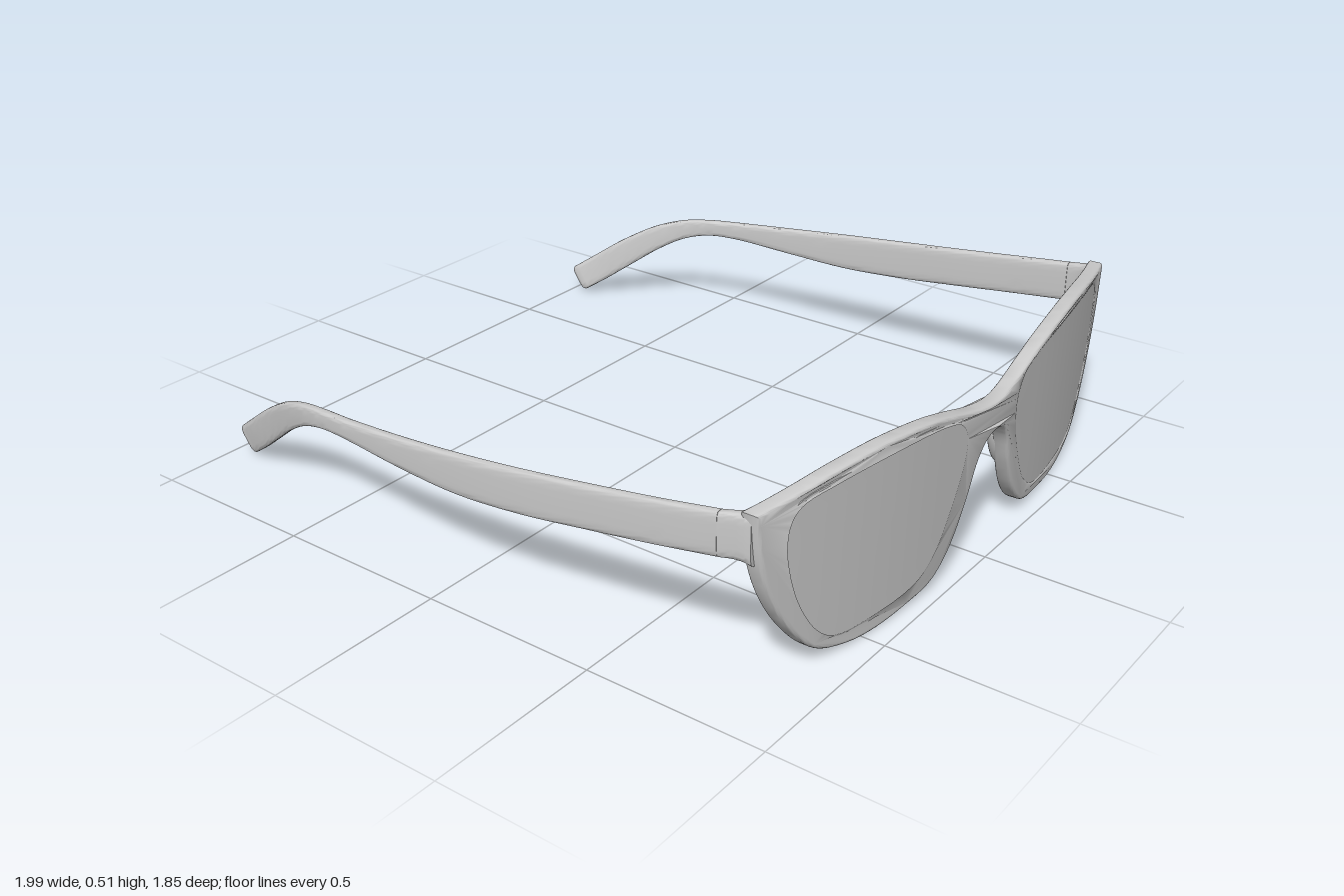
import * as THREE from 'three';
import { toCreasedNormals } from 'three/addons/utils/BufferGeometryUtils.js';

const material = new THREE.MeshStandardMaterial({ color: 0xcccccc });

// Wrap of the front: x of its outer face at sideways distance u and height y
const frontX = (u, y) =>
  0.985 - 0.15 * u * u + 0.008 * Math.exp(-((u / 0.1) ** 2)) - 0.012 * (1 - y / 0.5);

const spline = (points, closed, count) =>
  new THREE.CatmullRomCurve3(points.map(([a, b]) => new THREE.Vector3(a, b, 0)), closed).getPoints(count);

const mesh = (name, geometry, crease) => {
  const m = new THREE.Mesh(toCreasedNormals(geometry, crease), material);
  m.name = name;
  return m;
};

// Skin over closed rings of equal point count; both ends are closed with a fan
function loft(rings) {
  const n = rings[0].length;
  const positions = rings.flat(2);
  const index = [];
  for (let i = 0; i < rings.length - 1; i++) {
    for (let j = 0; j < n; j++) {
      const a = i * n + j, b = i * n + (j + 1) % n;
      index.push(a, b, a + n, b, b + n, a + n);
    }
  }
  const last = (rings.length - 1) * n;
  for (let j = 1; j < n - 1; j++) {
    index.push(0, j + 1, j);
    index.push(last, last + j, last + j + 1);
  }
  const g = new THREE.BufferGeometry();
  g.setAttribute('position', new THREE.Float32BufferAttribute(positions, 3));
  g.setIndex(index);
  return g;
}

// Lens opening, counterclockwise, as [u, y]
const lensOutline = spline([
  [0.812, 0.38], [0.80, 0.44], [0.765, 0.472], [0.66, 0.486], [0.45, 0.49], [0.25, 0.475],
  [0.17, 0.45], [0.135, 0.40], [0.14, 0.32], [0.19, 0.2], [0.25, 0.105], [0.32, 0.06],
  [0.5, 0.045], [0.635, 0.056], [0.70, 0.1], [0.765, 0.2], [0.8, 0.3],
], true, 72).slice(0, -1);

// Front frame: bevelled outline with two openings, bent to the wrap
function createFrame() {
  const mirrored = (half) => [
    ...half.slice(1).reverse().map(([u, y]) => [-u, y]), ...half,
  ];
  const top = mirrored([
    [0, 0.445], [0.1, 0.455], [0.2, 0.48], [0.3, 0.502], [0.42, 0.516], [0.52, 0.52],
    [0.65, 0.514], [0.75, 0.503], [0.84, 0.493], [0.897, 0.488],
  ]);
  const bottom = mirrored([
    [0, 0.36], [0.04, 0.35], [0.075, 0.31], [0.115, 0.21], [0.175, 0.1], [0.25, 0.037], [0.36, 0.017],
    [0.5, 0.008], [0.6, 0.02], [0.69, 0.052], [0.76, 0.12], [0.83, 0.225], [0.875, 0.34], [0.897, 0.488],
  ]).reverse();
  const shape = new THREE.Shape([
    ...spline(top, false, 80).slice(0, -1), ...spline(bottom, false, 130).slice(0, -1),
  ].map((p) => new THREE.Vector2(p.x, p.y)));
  for (const s of [1, -1]) {
    shape.holes.push(new THREE.Path(lensOutline.map((p) => new THREE.Vector2(s * p.x, p.y))));
  }
  const bevel = 0.009, depth = 0.027;
  const g = new THREE.ExtrudeGeometry(shape, {
    depth, steps: 1, bevelSize: bevel, bevelThickness: bevel, bevelOffset: -bevel, bevelSegments: 4,
  });
  const p = g.attributes.position;
  for (let i = 0; i < p.count; i++) {
    const u = p.getX(i), y = p.getY(i), d = p.getZ(i) - depth - bevel;
    p.setXYZ(i, frontX(u, y) + d, y, -u);
  }
  return mesh('frontFrame', g, 0.6);
}

// Thin curved lens: rings grow across the back and shrink across the front
function createLens(side, name) {
  const cu = 0.47, cy = 0.28;
  const ring = (k, d) => {
    const points = lensOutline.map((p) => {
      const u = side * (cu + (p.x - cu) * k), y = cy + (p.y - cy) * k;
      return [frontX(u, y) + d, y, -u];
    });
    return side > 0 ? points : points.reverse();
  };
  const steps = [0.01, 0.2, 0.4, 0.6, 0.8, 1.012];
  return mesh(name, loft([
    ...steps.map((k) => ring(k, -0.02)),
    ...steps.slice().reverse().map((k) => ring(k, -0.002)),
  ]), 0.6);
}

// Rounded bar from stations [xTop, yTop, xBottom, yBottom, z, halfThickness]
function createBar(name, side, stations, count, roundTip) {
  const curve = (f) => new THREE.CatmullRomCurve3(stations.map((s) => new THREE.Vector3(...f(s))));
  const tops = curve((s) => [s[0], s[1], s[4]]);
  const bottoms = curve((s) => [s[2], s[3], s[5]]);
  const rings = [];
  const addRing = (t, scale, shift) => {
    const a = tops.getPoint(t), b = bottoms.getPoint(t), points = [];
    for (let j = 0; j < 32; j++) {
      const angle = j / 32 * Math.PI * 2;
      const round = (v) => Math.sign(v) * Math.abs(v) ** 0.42;
      const c = round(Math.cos(angle)) * scale, s = round(Math.sin(angle)) * scale;
      points.push([
        (a.x + b.x) / 2 + (a.x - b.x) / 2 * c - shift,
        (a.y + b.y) / 2 + (a.y - b.y) / 2 * c - shift * 0.7,
        side * a.z + b.z * s,
      ]);
    }
    rings.push(points);
  };
  if (roundTip) [[0.6, 0.012], [0.82, 0.009], [0.94, 0.005]].forEach(([k, d]) => addRing(0, k, d));
  for (let i = 0; i <= count; i++) addRing(i / count, 1, 0);
  return mesh(name, loft(rings), 0.7);
}

const templeStations = [
  [-0.985, 0.09, -0.935, 0.018, 0.749, 0.015],
  [-0.91, 0.143, -0.87, 0.062, 0.77, 0.015],
  [-0.81, 0.213, -0.78, 0.128, 0.797, 0.015],
  [-0.7, 0.275, -0.68, 0.2, 0.828, 0.015],
  [-0.6, 0.31, -0.59, 0.25, 0.854, 0.014],
  [-0.5, 0.326, -0.5, 0.275, 0.872, 0.014],
  [-0.4, 0.335, -0.4, 0.28, 0.885, 0.014],
  [-0.2, 0.354, -0.2, 0.27, 0.901, 0.014],
  [0, 0.375, 0, 0.265, 0.91, 0.014],
  [0.2, 0.397, 0.2, 0.279, 0.911, 0.014],
  [0.4, 0.421, 0.4, 0.304, 0.906, 0.014],
  [0.6, 0.447, 0.6, 0.331, 0.9, 0.014],
  [0.765, 0.47, 0.765, 0.354, 0.891, 0.014],
];
const endpieceStations = [
  [0.766, 0.47, 0.766, 0.354, 0.891, 0.0145],
  [0.805, 0.477, 0.805, 0.36, 0.885, 0.016],
  [0.83, 0.483, 0.83, 0.358, 0.878, 0.02],
  [0.848, 0.487, 0.848, 0.35, 0.869, 0.025],
];

export function createModel() {
  const model = new THREE.Group();
  model.name = 'glasses';
  model.add(createFrame());
  // The wearer looks along +x, so the wearer's left is -z
  for (const [side, label] of [[1, 'left'], [-1, 'right']]) {
    model.add(createLens(side, label + 'Lens'));
    model.add(createBar(label + 'Temple', -side, templeStations, 60, true));
    model.add(createBar(label + 'Endpiece', -side, endpieceStations, 9, false));

    // Nose pad moulded onto the back of the rim
    const pad = new THREE.Mesh(new THREE.SphereGeometry(1, 20, 14), material);
    pad.name = label + 'NosePad';
    pad.scale.set(0.02, 0.06, 0.012);
    pad.position.set(0.937, 0.25, -side * 0.112);
    pad.rotation.x = side * 0.4;
    model.add(pad);
  }
  // Slight yaw of the whole pair
  model.rotation.y = 0.015;
  model.position.z = -0.013;
  return model;
}
